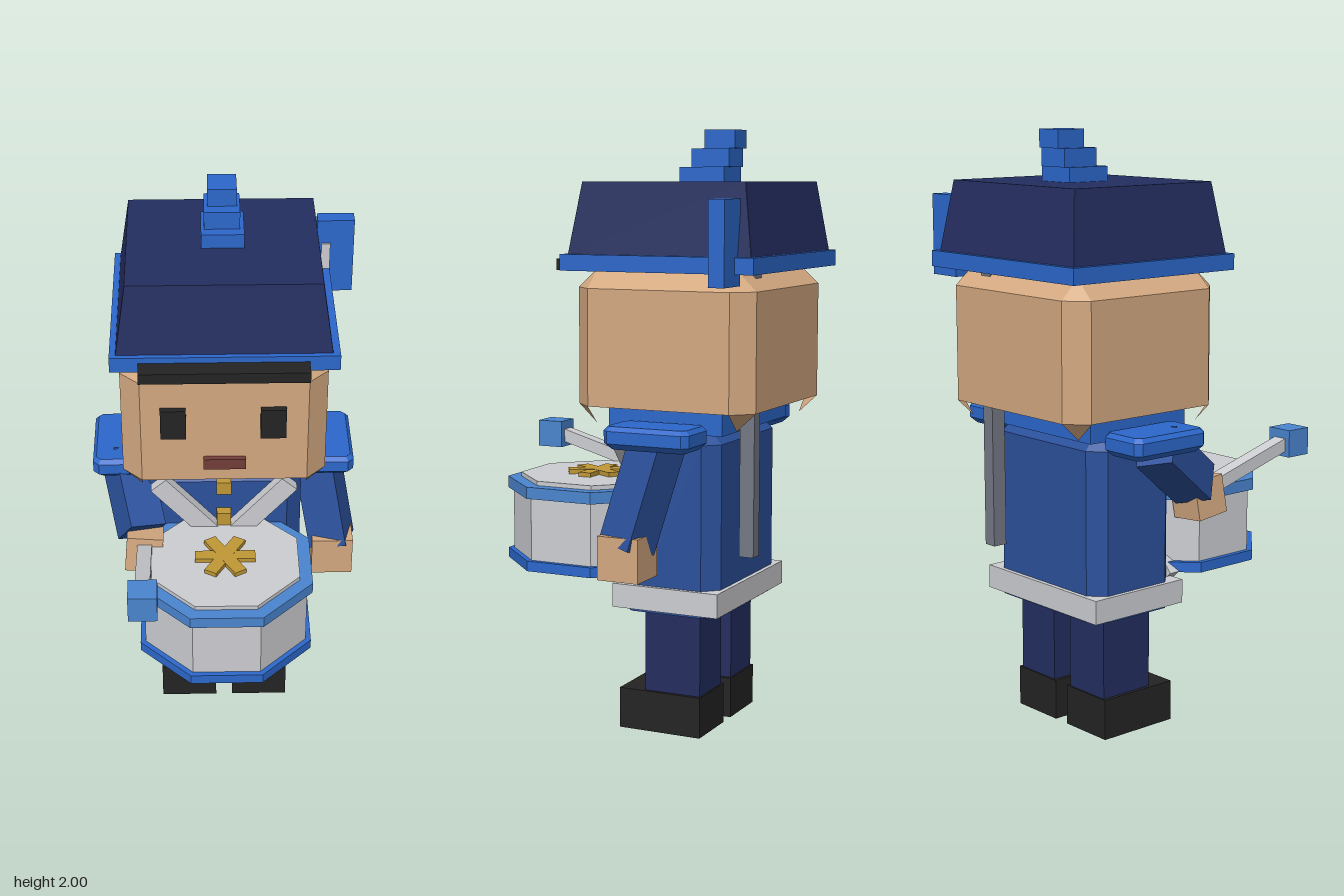
import * as THREE from 'three';

const mat = (name, color, extra = {}) => new THREE.MeshStandardMaterial({ name, color, ...extra });

export function createModel() {
  const navy = mat('navy', 0x242e60);
  const blue = mat('bright blue', 0x2c68cc);
  const uniform = mat('uniform blue', 0x2b519c);
  const sky = mat('light blue', 0x4a86d0);
  const white = mat('white', 0xcdced2);
  const steel = mat('steel', 0x747985);
  const gold = mat('gold', 0xc09836);
  const black = mat('black', 0x242424);
  const lip = mat('lip', 0x733d39);
  const skin = mat('skin', 0xd4a981, { side: THREE.DoubleSide });

  const model = new THREE.Group();
  const add = (name, geometry, material) => {
    const mesh = new THREE.Mesh(geometry, material);
    mesh.name = name;
    model.add(mesh);
    return mesh;
  };

  // Box given by its bounds
  const box = (name, m, x0, x1, y0, y1, z0, z1) => {
    const mesh = add(name, new THREE.BoxGeometry(x1 - x0, y1 - y0, z1 - z0), m);
    mesh.position.set((x0 + x1) / 2, (y0 + y1) / 2, (z0 + z1) / 2);
    return mesh;
  };

  // Box stretched between two points
  const beam = (name, m, a, b, w, d) => {
    const p = new THREE.Vector3(...a), q = new THREE.Vector3(...b);
    const mesh = add(name, new THREE.BoxGeometry(w, p.distanceTo(q), d), m);
    mesh.position.copy(p).add(q).multiplyScalar(0.5);
    mesh.quaternion.setFromUnitVectors(new THREE.Vector3(0, 1, 0), q.sub(p).normalize());
    return mesh;
  };

  // Rectangle with cut corners at height y, inset by n
  const ring = ([x0, x1, z0, z1], y, n, c) => {
    x0 += n; x1 -= n; z0 += n; z1 -= n;
    return [[x1, z1 - c], [x1, z0 + c], [x1 - c, z0], [x0 + c, z0],
      [x0, z0 + c], [x0, z1 - c], [x0 + c, z1], [x1 - c, z1]].map(([x, z]) => [x, y, z]);
  };

  // Flat-sided solid through rings, bottom to top
  const loft = (name, m, rings) => {
    const v = [], tri = (...p) => p.forEach((q) => v.push(...q));
    const last = rings[rings.length - 1], n = last.length;
    for (let r = 0; r < rings.length - 1; r++) {
      for (let i = 0; i < n; i++) {
        const j = (i + 1) % n, lo = rings[r], hi = rings[r + 1];
        tri(lo[i], lo[j], hi[j]);
        tri(lo[i], hi[j], hi[i]);
      }
    }
    for (let i = 1; i < n - 1; i++) {
      tri(last[0], last[i], last[i + 1]);
      tri(rings[0][0], rings[0][i + 1], rings[0][i]);
    }
    const g = new THREE.BufferGeometry();
    g.setAttribute('position', new THREE.Float32BufferAttribute(v, 3));
    g.computeVertexNormals();
    return add(name, g, m);
  };

  // Legs and shoes
  for (const x of [-0.14, 0.12]) {
    box('leg', navy, x - 0.0875, x + 0.0875, 0.13, 0.415, -0.305, -0.105);
    box('shoe', black, x - 0.1, x + 0.1, 0, 0.138, -0.31, -0.015);
  }

  // Torso, belt and collar
  const torso = [-0.28, 0.26, -0.38, -0.03];
  loft('torso', uniform, [ring(torso, 0.42, 0, 0.05), ring(torso, 0.99, 0, 0.05), ring(torso, 1.03, 0.04, 0.02)]);
  box('belt', white, -0.295, 0.275, 0.43, 0.51, -0.395, -0.015);
  box('collar', blue, -0.285, 0.265, 1.025, 1.105, -0.405, 0);

  // Crossed straps and buttons
  for (const s of [-1, 1]) {
    beam('strap', white, [-0.01 + s * 0.225, 1.005, -0.01], [-0.01 - s * 0.215, 0.5, -0.01], 0.07, 0.04);
  }
  for (const y of [0.985, 0.852]) box('button', gold, -0.035, 0.015, y - 0.025, y + 0.025, -0.04, 0.005);

  // Epaulettes
  for (const [x0, x1] of [[-0.46, -0.285], [0.265, 0.44]]) {
    const r = [x0, x1, -0.36, -0.06];
    loft('epaulette', blue, [ring(r, 0.985, 0.02, 0.015), ring(r, 1.005, 0, 0.02),
      ring(r, 1.045, 0, 0.02), ring(r, 1.06, 0.012, 0.015)]);
  }

  // Left arm hangs, right arm reaches forward
  beam('leftArm', uniform, [0.32, 0.99, -0.2], [0.38, 0.66, -0.12], 0.13, 0.135);
  box('leftHand', skin, 0.305, 0.45, 0.56, 0.705, -0.195, -0.05);
  beam('rightArm', uniform, [-0.355, 1.0, -0.19], [-0.295, 0.83, 0.04], 0.13, 0.13);
  const hand = box('rightHand', skin, -0.35, -0.225, 0.72, 0.85, 0, 0.125);
  hand.rotation.set(-0.12, 0, -0.08);

  // Drumstick
  beam('drumstick', white, [-0.285, 0.785, 0.03], [-0.285, 0.91, 0.47], 0.05, 0.045);
  box('drumstickHead', sky, -0.33, -0.235, 0.865, 0.96, 0.455, 0.55);

  // Eight-sided drum; sizes are from centre to flat side
  const drum = (name, m, apothem, y0, y1) => {
    const r = apothem / Math.cos(Math.PI / 8);
    const g = new THREE.CylinderGeometry(r, r, y1 - y0, 8).rotateY(Math.PI / 8).toNonIndexed();
    g.computeVertexNormals();
    add(name, g, m).position.set(-0.01, (y0 + y1) / 2, 0.185);
  };
  drum('drumBottom', uniform, 0.26, 0.517, 0.53);
  drum('drumLowerRim', blue, 0.293, 0.52, 0.555);
  drum('drumShell', white, 0.275, 0.55, 0.775);
  drum('drumUpperRim', sky, 0.293, 0.77, 0.81);
  drum('drumSkin', white, 0.25, 0.8, 0.825);
  for (let i = 0; i < 3; i++) {
    const bar = box('drumStar', gold, -0.113, 0.093, 0.824, 0.84 + i * 0.0004, 0.1625, 0.2075);
    bar.rotation.y = i * Math.PI / 3;
  }

  // Head with bevelled edges and pointed lower corners
  const head = [-0.35, 0.33, -0.52, 0.11], c = 0.065;
  loft('head', skin, [ring(head, 1.105, 0, c), ring(head, 1.49, 0, c), ring(head, 1.55, c, 0.004)]);
  const low = ring(head, 1.105, 0, c), corners = [];
  for (let i = 1; i < 8; i += 2) {
    const a = low[i], b = low[(i + 1) % 8];
    const tip = i % 4 === 1 ? [b[0], 1.045, a[2]] : [a[0], 1.045, b[2]];
    corners.push(...a, ...tip, ...b);
  }
  const cornerGeo = new THREE.BufferGeometry();
  cornerGeo.setAttribute('position', new THREE.Float32BufferAttribute(corners, 3));
  cornerGeo.computeVertexNormals();
  add('jawCorners', cornerGeo, skin);

  // Face
  for (const x of [-0.178, 0.15]) box('eye', black, x - 0.042, x + 0.042, 1.285, 1.395, 0.1, 0.132);
  box('mouth', lip, -0.08, 0.06, 1.16, 1.2, 0.1, 0.13);

  // Hat
  box('hatBrim', blue, -0.377, 0.36, 1.547, 1.6, -0.547, 0.13);
  const hat = [-0.357, 0.337, -0.53, 0.112];
  loft('hatCrown', navy, [ring(hat, 1.6, 0, 0.001), ring(hat, 1.832, 0.035, 0.001)]);
  box('visor', black, -0.285, 0.262, 1.543, 1.58, 0.09, 0.195);
  box('plumeBase', blue, -0.08, 0.06, 1.83, 1.88, -0.317, -0.157);
  box('plumeMiddle', blue, -0.07, 0.047, 1.88, 1.94, -0.328, -0.195);
  box('plumeTip', blue, -0.058, 0.037, 1.94, 2, -0.345, -0.237);

  // Side plate and rod behind the body
  box('sidePlate', blue, 0.315, 0.44, 1.51, 1.78, -0.484, -0.43);
  box('sidePlateInlay', white, 0.33, 0.36, 1.6, 1.695, -0.432, -0.425);
  box('backRod', steel, 0.13, 0.178, 0.62, 1.6, -0.48, -0.43);

  return model;
}
